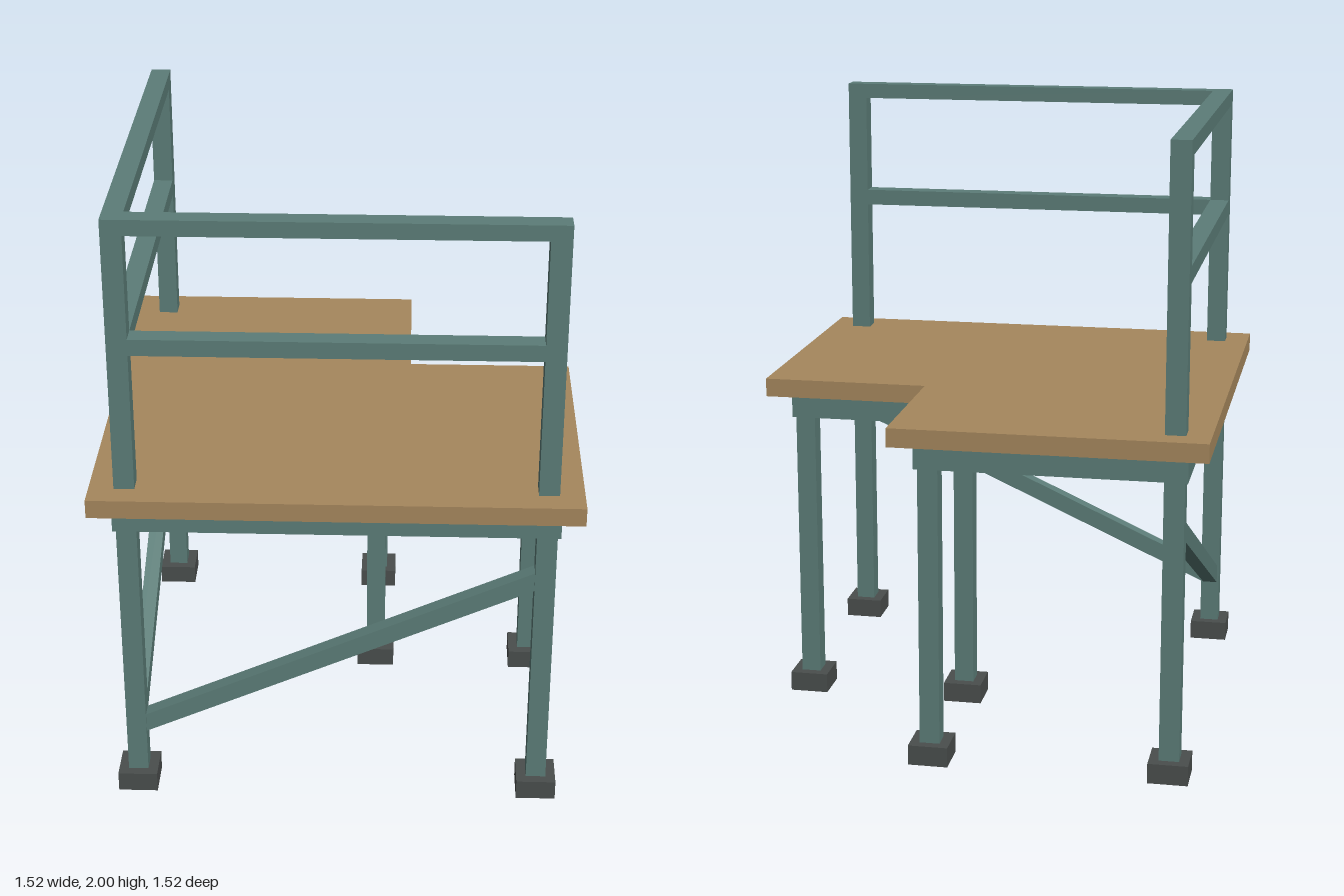
import * as THREE from 'three';

const paint = (color) => new THREE.MeshStandardMaterial({ color, flatShading: true });
const steel = paint(0x5c7d78);
const wood = paint(0xa6875d);
const rubber = paint(0x4a4e4d);

const POST = 0.064;            // post section
const C = 0.65;                // post line from the centre
const N = 0.112;               // post line of the notched corner
const INNER = C - POST / 2;    // inner face of the corner posts

function add(parent, name, geometry, material) {
  const mesh = new THREE.Mesh(geometry, material);
  mesh.name = name;
  parent.add(mesh);
  return mesh;
}

// Box given by its centre in plan and its bottom and top heights
function block(parent, name, material, x, z, w, d, y0, y1) {
  const mesh = add(parent, name, new THREE.BoxGeometry(w, y1 - y0, d), material);
  mesh.position.set(x, (y0 + y1) / 2, z);
  return mesh;
}

// L-shaped plan: a square of half-width s with its +x, -z corner cut away
function plan(s, n) {
  return [[-s, -s], [n, -s], [n, -n], [s, -n], [s, s], [-s, s]]
    .map(([x, z]) => new THREE.Vector2(x, z));
}

// Extrude a plan shape downwards from height y1 to y0
function slab(shape, y0, y1) {
  const g = new THREE.ExtrudeGeometry(shape, { depth: y1 - y0, bevelEnabled: false });
  return g.rotateX(Math.PI / 2).translate(0, y1, 0);
}

// Two guard rails and a diagonal brace between two tall posts, running along x
function sideFrame(name, z) {
  const side = new THREE.Group();
  side.name = name;
  block(side, 'topRail', steel, 0, z, 2 * INNER, POST, 1.95, 2);
  block(side, 'midRail', steel, 0, z, 2 * INNER, POST, 1.567, 1.62);

  const outline = new THREE.Shape([
    new THREE.Vector2(-INNER, 0.21), new THREE.Vector2(INNER, 0.77),
    new THREE.Vector2(INNER, 0.834), new THREE.Vector2(-INNER, 0.274),
  ]);
  const depth = 0.05;
  const g = new THREE.ExtrudeGeometry(outline, { depth, bevelEnabled: false });
  add(side, 'diagonalBrace', g.translate(0, 0, z - depth / 2), steel);
  return side;
}

export function createModel() {
  const model = new THREE.Group();
  model.name = 'platform';

  // Deck board
  add(model, 'deck', slab(new THREE.Shape(plan(0.76, 0.222)), 1.055, 1.115), wood);

  // Ring of beams under the deck
  const ring = new THREE.Shape(plan(0.692, 0.155));
  ring.holes.push(new THREE.Path(plan(0.607, 0.07).reverse()));
  add(model, 'deckBeams', slab(ring, 0.97, 1.055), steel);

  // Posts with their feet; three of them rise to carry the guard rails
  const posts = [
    [-C, C, 2], [C, C, 2], [-C, -C, 2],
    [N, -C, 0.97], [C, -N, 0.97], [N, -N, 0.97],
  ];
  for (const [x, z, top] of posts) {
    block(model, 'post', steel, x, z, POST, POST, 0.065, top);
    block(model, 'foot', rubber, x, z, 0.127, 0.127, 0, 0.065);
  }

  // Guarded and braced sides: front, and the same turned onto the right side
  model.add(sideFrame('frontFrame', C));
  const rightFrame = sideFrame('rightFrame', -C);
  rightFrame.rotation.y = Math.PI / 2;
  model.add(rightFrame);

  return model;
}
